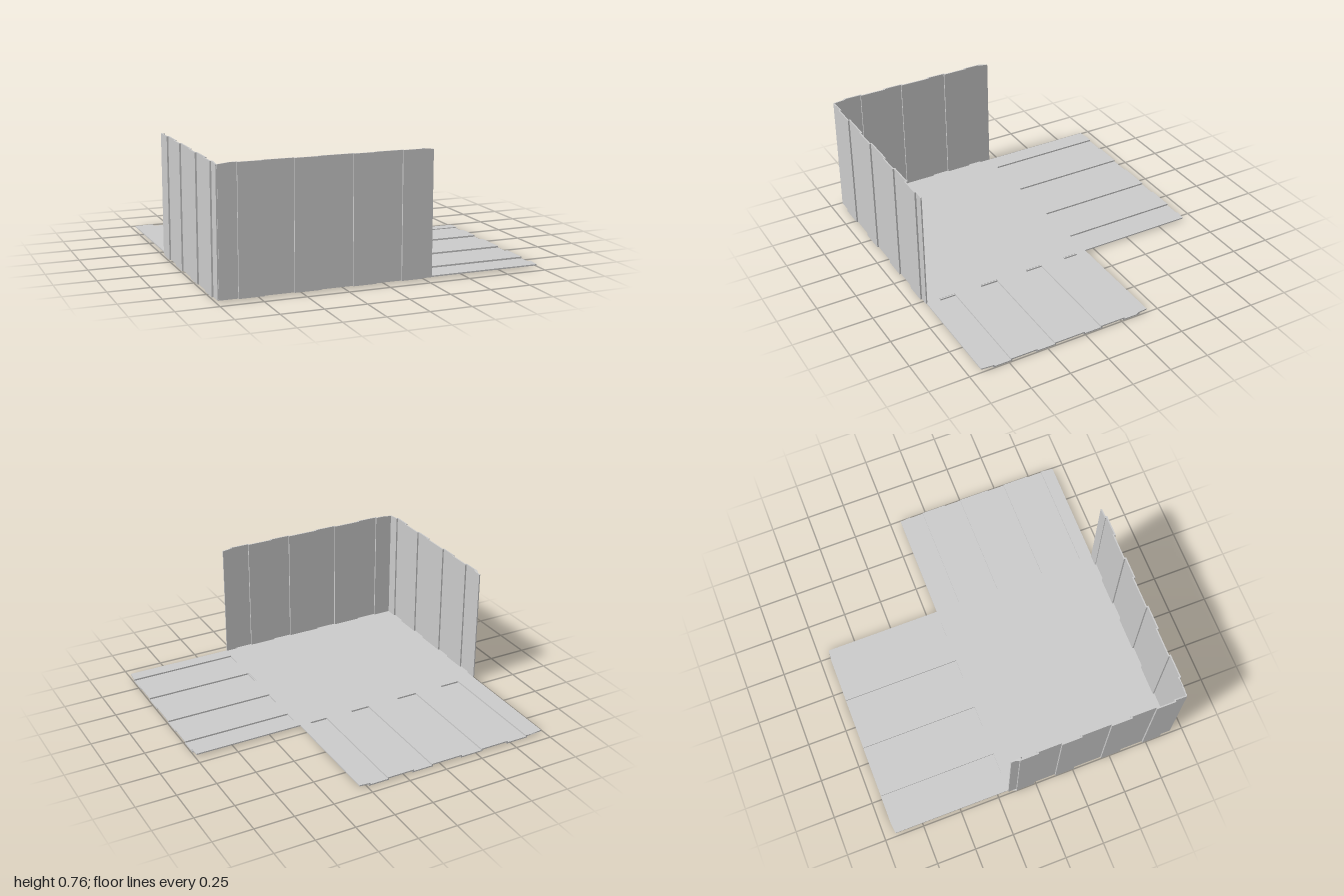
import * as THREE from 'three';

const T = 0.008;      // sheet thickness
const D = 0.018;      // full depth of the ribbed sheet
const EDGE = 0.07;    // length of the clipped corner at a free edge
const CLIP = 0.007;   // drop of the clipped corner

const material = new THREE.MeshStandardMaterial({ color: 0xcccccc, flatShading: true, side: THREE.DoubleSide });
const v3 = (x, y, z) => new THREE.Vector3(x, y, z);

// Ribbed sheet: u runs across the ribs, v points to the smooth side (0 = rib crest), w along the ribs.
// freeAtStart tells which end is free; the other end of every rib is closed.
function ribbedPanel(name, { from, to, ribs, length, freeAtStart, u, v, w, origin }) {
  const upper = [[from, D], [from + EDGE, D]];
  const lower = [[from, D - T], [from + EDGE, D - T]];
  for (const [a, b] of ribs) {
    upper.push([a, D], [a, T], [b, T], [b, D]);
    lower.push([a - T, D - T], [a - T, 0], [b + T, 0], [b + T, D - T]);
  }
  upper.push([to - EDGE, D], [to, D]);
  lower.push([to - EDGE, D - T], [to, D - T]);
  const outline = [...lower, ...upper.reverse()].map(([x, y]) => new THREE.Vector2(x, y));
  const sheet = new THREE.ExtrudeGeometry(new THREE.Shape(outline), { depth: length, bevelEnabled: false });

  // clip the outer corners of the free edge
  const p = sheet.attributes.position;
  const freeW = freeAtStart ? 0 : length;
  for (let i = 0; i < p.count; i++) {
    const atSide = Math.abs(p.getX(i) - from) < 1e-4 || Math.abs(p.getX(i) - to) < 1e-4;
    if (atSide && Math.abs(p.getZ(i) - freeW) < 1e-4) p.setZ(i, freeW + (freeAtStart ? CLIP : -CLIP));
  }
  sheet.computeVertexNormals();

  const panel = new THREE.Group();
  panel.name = name;
  const sheetMesh = new THREE.Mesh(sheet, material);
  sheetMesh.name = name + 'Sheet';
  panel.add(sheetMesh);

  // closed rib ends
  for (const [a, b] of ribs) {
    const cap = new THREE.Mesh(new THREE.BoxGeometry(b - a + 2 * T, D - 0.001, T), material);
    cap.position.set((a + b) / 2, (D - 0.001) / 2, freeAtStart ? length + T / 2 : T / 2);
    cap.name = 'ribEnd';
    panel.add(cap);
  }
  panel.applyMatrix4(new THREE.Matrix4().makeBasis(u, v, w).setPosition(origin));
  return panel;
}

export function createModel() {
  const model = new THREE.Group();
  model.name = 'ribbedCornerPanels';

  const ribsX = [[-0.865, -0.73], [-0.54, -0.4], [-0.19, -0.065], [0.11, 0.23]];
  const ribsZ = [[-0.12, -0.02], [0.14, 0.25], [0.45, 0.565], [0.735, 0.84]];
  const xRange = { from: -0.982, to: 0.295, ribs: ribsX };
  const zRange = { from: -0.18, to: 0.922, ribs: ribsZ };
  const zFlipped = { from: -0.922, to: 0.18, ribs: ribsZ.map(([a, b]) => [-b, -a]).reverse() };

  // flat centre of the floor
  const floor = new THREE.Mesh(new THREE.BoxGeometry(1.28, T, 1.105), material);
  floor.position.set(-0.345, D - T / 2, 0.3725);
  floor.name = 'floorCentre';
  model.add(floor);

  // floor arms
  model.add(ribbedPanel('backFloorArm', {
    ...xRange, length: 0.755, freeAtStart: true,
    u: v3(1, 0, 0), v: v3(0, 1, 0), w: v3(0, 0, 1), origin: v3(0, 0, -0.935),
  }));
  model.add(ribbedPanel('leftFloorArm', {
    ...zFlipped, length: 0.7, freeAtStart: false,
    u: v3(0, 0, -1), v: v3(0, 1, 0), w: v3(1, 0, 0), origin: v3(0.295, 0, 0),
  }));

  // upright walls, ribs facing outwards
  model.add(ribbedPanel('frontWall', {
    ...xRange, length: 0.755, freeAtStart: false,
    u: v3(1, 0, 0), v: v3(0, 0, -1), w: v3(0, 1, 0), origin: v3(0, 0.01, 0.935),
  }));
  model.add(ribbedPanel('rightWall', {
    ...zRange, length: 0.755, freeAtStart: false,
    u: v3(0, 0, 1), v: v3(1, 0, 0), w: v3(0, 1, 0), origin: v3(-1, 0.01, 0),
  }));

  return model;
}
